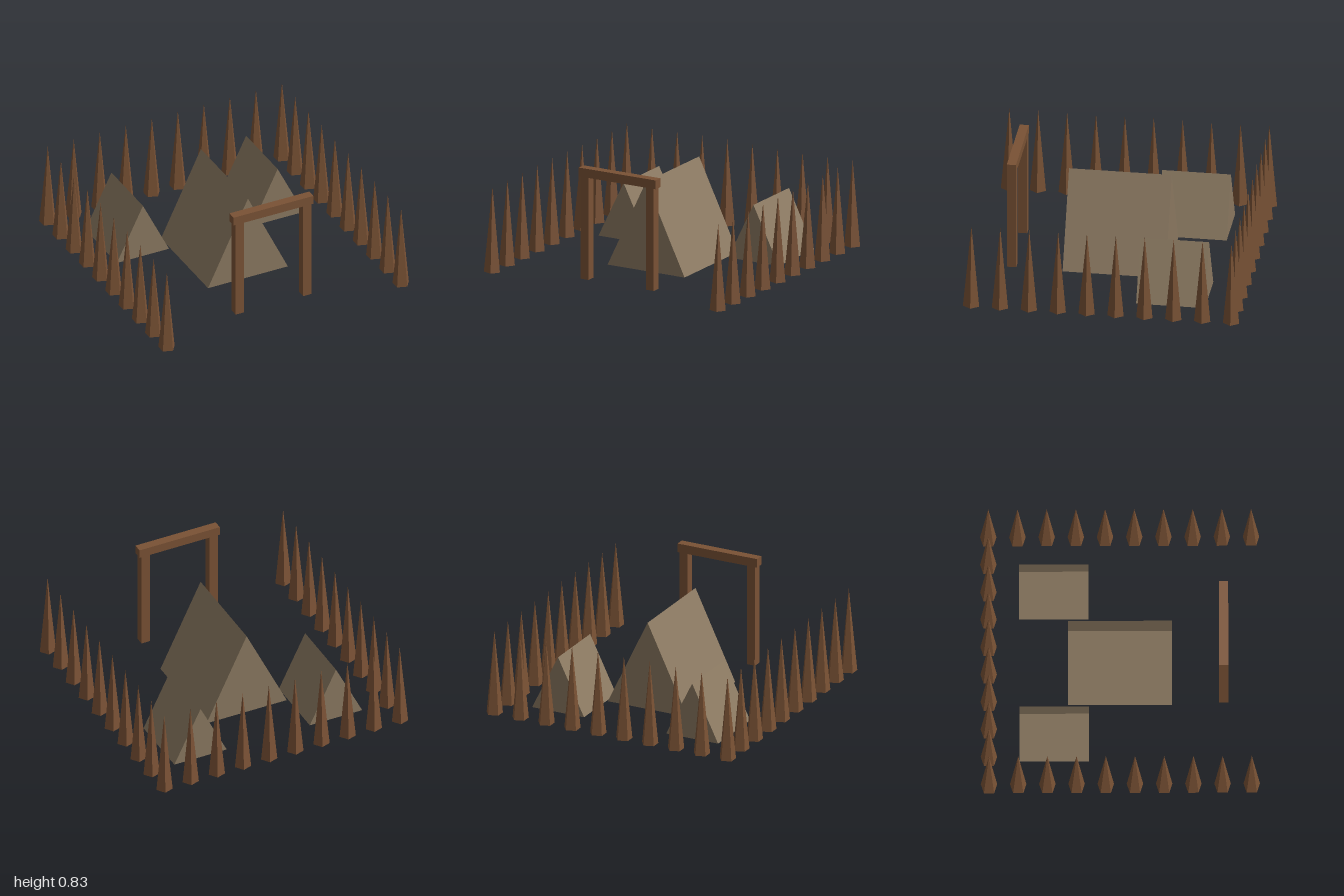
import * as THREE from 'three';

const wood = new THREE.MeshStandardMaterial({ color: 0x7a5235, flatShading: true });
wood.name = 'wood';
const canvas = new THREE.MeshStandardMaterial({ color: 0x8a7860, flatShading: true, side: THREE.DoubleSide });
canvas.name = 'canvas';

// Ridge tent with closed gables and an open floor
function tentGeometry(width, height, length) {
  const w = width / 2, l = length / 2;
  const fl = [-w, 0, l], fr = [w, 0, l], ft = [0, height, l];
  const bl = [-w, 0, -l], br = [w, 0, -l], bt = [0, height, -l];
  const corners = [
    fl, fr, ft, br, bl, bt, // gables
    fr, br, bt, fr, bt, ft, // +x slope
    bl, fl, ft, bl, ft, bt, // -x slope
  ];
  const g = new THREE.BufferGeometry();
  g.setAttribute('position', new THREE.Float32BufferAttribute(corners.flat(), 3));
  g.computeVertexNormals();
  return g;
}

export function createModel() {
  const model = new THREE.Group();
  model.name = 'camp';
  const cx = -0.007; // shared centre line

  const add = (parent, name, geometry, material, x, y, z) => {
    const mesh = new THREE.Mesh(geometry, material);
    mesh.name = name;
    mesh.position.set(x, y, z);
    parent.add(mesh);
  };

  // Tents: one large, two small behind it
  add(model, 'mainTent', tentGeometry(0.64, 0.666, 0.742), canvas, cx, 0, 0);
  const small = tentGeometry(0.418, 0.424, 0.497);
  add(model, 'rightTent', small, canvas, cx - 0.54, 0, -0.471);
  add(model, 'leftTent', small, canvas, cx + 0.54, 0, -0.471);

  // Gate
  const gate = new THREE.Group();
  gate.name = 'gate';
  const post = new THREE.BoxGeometry(0.066, 0.762, 0.066);
  for (const s of [-1, 1]) {
    add(gate, s < 0 ? 'rightPost' : 'leftPost', post, wood, cx + s * 0.271, 0.381, 0.741);
  }
  add(gate, 'crossBeam', new THREE.BoxGeometry(0.64, 0.066, 0.066), wood, cx, 0.793, 0.741);
  model.add(gate);

  // Palisade along the back and both sides
  const palisade = new THREE.Group();
  palisade.name = 'palisade';
  const stake = new THREE.ConeGeometry(0.062, 0.635, 5);
  stake.rotateY(Math.PI / 2);
  const half = 0.939, count = 10;
  for (let i = 0; i < count; i++) {
    const t = -half + (2 * half * i) / (count - 1);
    add(palisade, 'backStake', stake, wood, cx + t, 0.3175, -half);
    if (i === 0) continue; // corners belong to the back row
    add(palisade, 'rightStake', stake, wood, cx - half, 0.3175, t);
    add(palisade, 'leftStake', stake, wood, cx + half, 0.3175, t);
  }
  model.add(palisade);

  return model;
}
